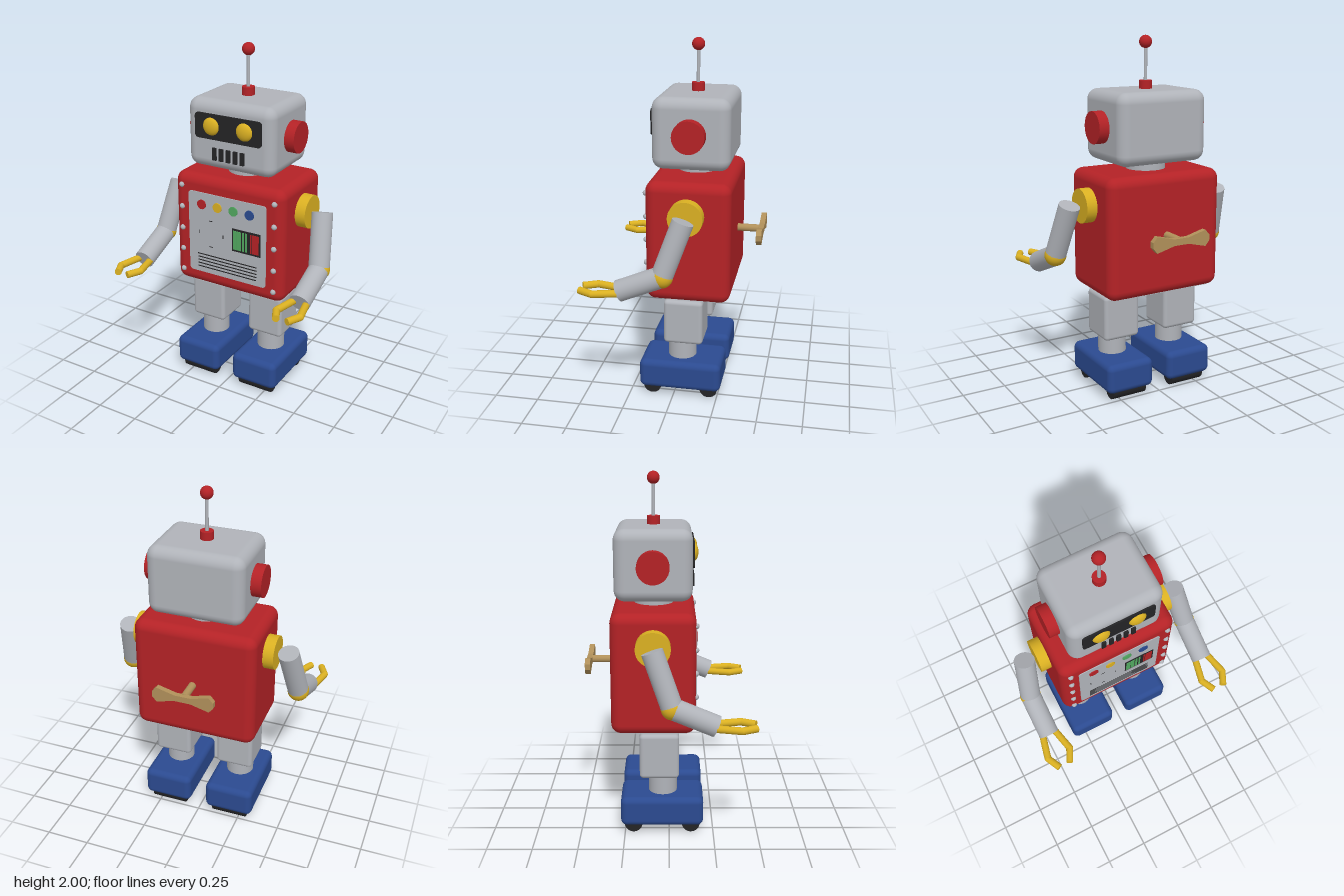
import * as THREE from 'three';
import { RoundedBoxGeometry } from 'three/addons/geometries/RoundedBoxGeometry.js';

const material = (name, color) => {
  const m = new THREE.MeshStandardMaterial({ color });
  m.name = name;
  return m;
};

export function createModel() {
  const grey = material('grey metal', 0xb0b3b9);
  const red = material('red paint', 0xb42226);
  const blue = material('blue paint', 0x2b4a90);
  const yellow = material('yellow paint', 0xdab022);
  const black = material('black', 0x242426);
  const brass = material('brass', 0xb0905a);
  const green = material('green', 0x52a860);

  const robot = new THREE.Group();
  robot.name = 'toyRobot';
  const bodyZ = -0.086;
  const v = (x, y, z) => new THREE.Vector3(x, y, z);

  const add = (parent, name, geometry, mat, x = 0, y = 0, z = 0) => {
    const mesh = new THREE.Mesh(geometry, mat);
    mesh.name = name;
    mesh.position.set(x, y, z);
    parent.add(mesh);
    return mesh;
  };
  const group = (name, parent = robot) => {
    const g = new THREE.Group();
    g.name = name;
    parent.add(g);
    return g;
  };
  const box = (w, h, d) => new THREE.BoxGeometry(w, h, d);
  const rounded = (w, h, d, r) => new RoundedBoxGeometry(w, h, d, 4, r);
  const ball = (r) => new THREE.SphereGeometry(r, 28, 18);
  // Cylinder running between two points
  const rod = (parent, name, a, b, r, mat, sides = 32) => {
    const dir = b.clone().sub(a);
    const mesh = add(parent, name, new THREE.CylinderGeometry(r, r, dir.length(), sides), mat);
    mesh.position.copy(a).add(b).multiplyScalar(0.5);
    mesh.quaternion.setFromUnitVectors(v(0, 1, 0), dir.normalize());
    return mesh;
  };
  // Thin plate with rounded corners, its back at z
  const plate = (parent, name, w, h, d, r, mat, x, y, z) => {
    const s = new THREE.Shape();
    const a = w / 2 - r, b = h / 2 - r;
    s.absarc(a, b, r, 0, Math.PI / 2);
    s.absarc(-a, b, r, Math.PI / 2, Math.PI);
    s.absarc(-a, -b, r, Math.PI, Math.PI * 1.5);
    s.absarc(a, -b, r, Math.PI * 1.5, Math.PI * 2);
    const g = new THREE.ExtrudeGeometry(s, { depth: d, bevelEnabled: false, curveSegments: 6 });
    return add(parent, name, g, mat, x, y, z);
  };

  // Torso
  const torso = group('torso');
  add(torso, 'torsoShell', rounded(0.7, 0.675, 0.465, 0.055), red, 0, 0.942, bodyZ);
  add(torso, 'bellyPlate', box(0.6, 0.012, 0.37), grey, 0, 0.606, bodyZ);
  plate(torso, 'chestPanel', 0.5, 0.495, 0.009, 0.02, grey, 0, 0.938, 0.143);
  for (const side of [-1, 1]) {
    for (let i = 0; i < 5; i++) {
      add(torso, 'rivet', ball(0.016), grey, side * 0.297, 0.678 + i * 0.1325, 0.146);
    }
  }

  // Chest controls
  const panelZ = 0.152;
  [red, yellow, green, blue].forEach((mat, i) => {
    const x = -0.162 + i * 0.103;
    rod(torso, 'button', v(x, 1.115, 0.147), v(x, 1.115, 0.158), 0.028, mat);
  });
  add(torso, 'meterFrame', box(0.18, 0.138, 0.006), black, 0.127, 0.944, panelZ);
  [[0.056, 0.025], [0.084, 0.025], [0.108, 0.013], [0.128, 0.01]].forEach(([x, w]) =>
    add(torso, 'greenMeterBar', box(w, 0.115, 0.004), green, x, 0.944, panelZ + 0.003));
  [[0.158, 0.008], [0.187, 0.042]].forEach(([x, w]) =>
    add(torso, 'redMeterBar', box(w, 0.115, 0.004), red, x, 0.944, panelZ + 0.003));
  for (let i = 0; i < 4; i++) {
    const angle = i * Math.PI / 2;
    const tick = add(torso, 'dialTick', box(0.004, 0.022, 0.003), black,
      -0.103 + 0.08 * Math.cos(angle), 0.943 + 0.08 * Math.sin(angle), panelZ);
    tick.rotation.z = angle;
  }
  for (let i = 0; i < 5; i++) {
    add(torso, 'ventSlot', box(0.385, 0.006, 0.003), black, 0, 0.805 - i * 0.02, panelZ);
  }

  // Wind-up key
  const key = group('windUpKey');
  rod(key, 'keyShaft', v(0, 0.942, -0.31), v(0, 0.942, -0.442), 0.021, brass);
  const bow = new THREE.Shape([
    [-0.175, -0.016], [-0.15, -0.045], [-0.045, -0.018], [0.045, -0.018], [0.15, -0.045], [0.175, -0.016],
    [0.175, 0.016], [0.15, 0.045], [0.045, 0.018], [-0.045, 0.018], [-0.15, 0.045], [-0.175, 0.016],
  ].map(([x, y]) => new THREE.Vector2(x, y)));
  add(key, 'keyHandle', new THREE.ExtrudeGeometry(bow, { depth: 0.03, bevelEnabled: false }), brass, 0, 0.942, -0.468);

  // Head
  const head = group('head');
  rod(head, 'neck', v(0, 1.26, bodyZ), v(0, 1.34, bodyZ), 0.11, grey);
  add(head, 'headShell', rounded(0.54, 0.39, 0.425, 0.06), grey, 0, 1.52, bodyZ);
  plate(head, 'visor', 0.412, 0.142, 0.012, 0.02, black, 0, 1.573, 0.125);
  for (const side of [-1, 1]) {
    add(head, 'eye', ball(0.05), yellow, side * 0.103, 1.575, 0.134).scale.z = 0.5;
    rod(head, 'ear', v(side * 0.25, 1.522, bodyZ), v(side * 0.328, 1.522, bodyZ), 0.088, red);
  }
  for (let i = -2; i <= 2; i++) {
    add(head, 'mouthSlot', box(0.024, 0.07, 0.016), black, i * 0.0435, 1.42, 0.13);
  }
  rod(head, 'antennaBase', v(0, 1.705, bodyZ), v(0, 1.76, bodyZ), 0.036, red);
  rod(head, 'antennaRod', v(0, 1.75, bodyZ), v(0, 1.95, bodyZ), 0.0095, grey, 16);
  add(head, 'antennaBall', ball(0.035), red, 0, 1.965, bodyZ);

  for (const side of [-1, 1]) {
    const label = side > 0 ? 'left' : 'right';

    // Arm with elbow and two-finger claw
    const arm = group(label + 'Arm');
    const elbow = v(side * 0.512, 0.82, 0.016);
    const wrist = v(side * 0.512, 0.722, 0.25);
    rod(arm, 'shoulder', v(side * 0.33, 1.105, bodyZ), v(side * 0.41, 1.105, bodyZ), 0.095, yellow);
    rod(arm, 'upperArm', v(side * 0.471, 1.115, -0.089), elbow, 0.059, grey);
    add(arm, 'elbow', ball(0.061), yellow).position.copy(elbow);
    rod(arm, 'forearm', elbow, wrist, 0.059, grey);
    for (const f of [-1, 1]) {
      const [a, b, c] = [[0.036, 0.235], [0.07, 0.38], [0.032, 0.457]]
        .map(([dx, z]) => v(wrist.x + f * dx, 0.722, z));
      rod(arm, 'clawBase', a, b, 0.02, yellow, 20);
      add(arm, 'clawJoint', ball(0.02), yellow).position.copy(b);
      rod(arm, 'clawTip', b, c, 0.02, yellow, 20);
    }

    // Leg, foot and rollers
    const leg = group(label + 'Leg');
    const x = side * 0.192;
    rod(leg, 'hipPin', v(x, 0.57, -0.055), v(x, 0.61, -0.055), 0.06, grey);
    add(leg, 'thigh', rounded(0.217, 0.26, 0.22, 0.022), grey, x, 0.456, -0.055);
    rod(leg, 'ankle', v(x, 0.2, -0.036), v(x, 0.34, -0.036), 0.08, grey);
    add(leg, 'foot', rounded(0.287, 0.17, 0.465, 0.035), blue, x, 0.135, -0.04);
    for (const z of [0.123, -0.202]) {
      rod(leg, 'roller', v(x - 0.103, 0.05, z), v(x + 0.103, 0.05, z), 0.05, black);
    }
  }
  return robot;
}
